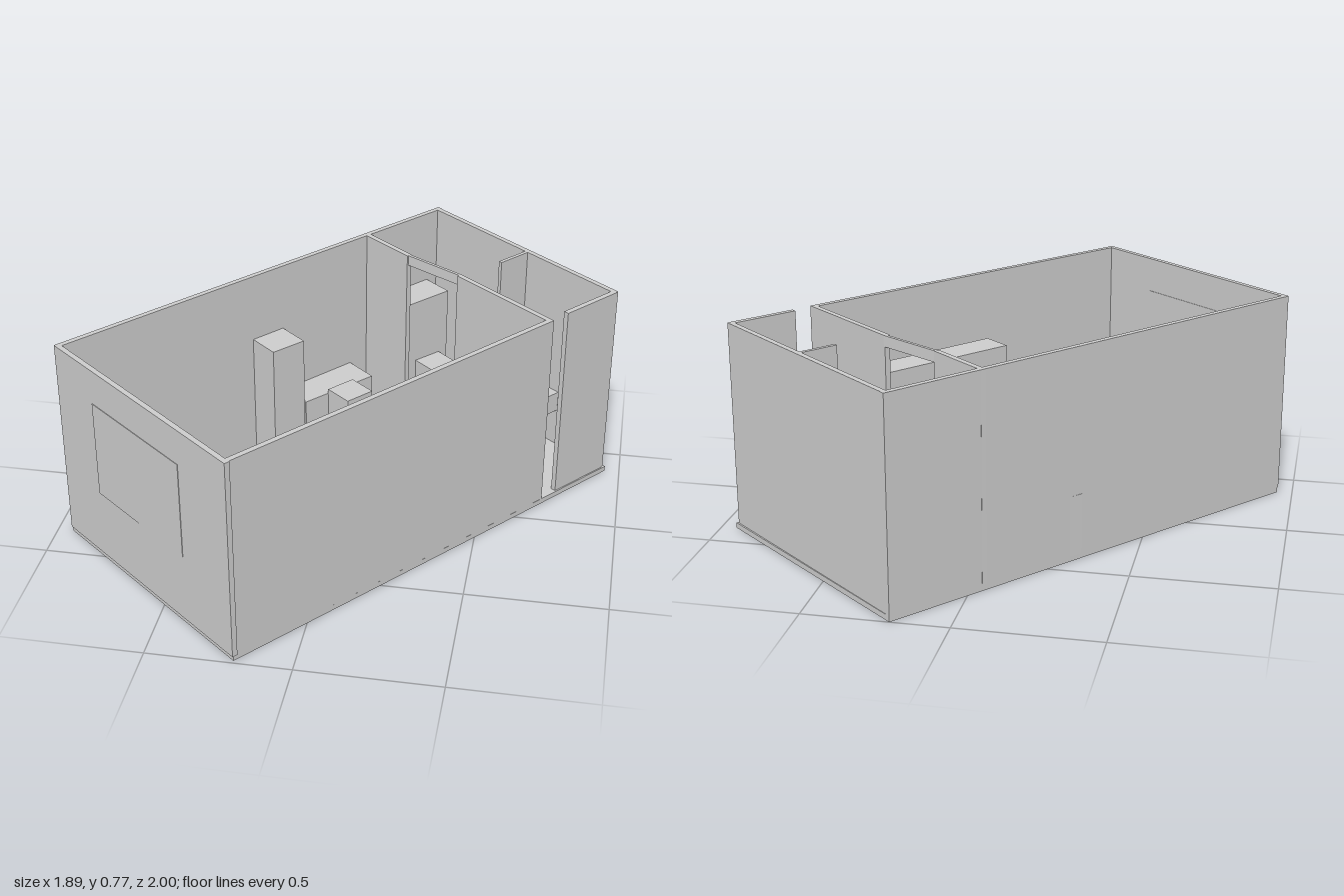
import * as THREE from 'three';

const material = new THREE.MeshStandardMaterial({ color: 0xcccccc, flatShading: true });

// Box standing on the plan edge (x1,z1)-(x2,z2), reaching `depth` inwards, from y0 to y1
function block(name, [x1, z1, x2, z2], depth, y0, y1) {
  const dx = x2 - x1, dz = z2 - z1, length = Math.hypot(dx, dz);
  const mesh = new THREE.Mesh(new THREE.BoxGeometry(length, y1 - y0, depth), material);
  mesh.position.set(
    (x1 + x2) / 2 - (dz / length) * depth / 2,
    (y0 + y1) / 2,
    (z1 + z2) / 2 + (dx / length) * depth / 2
  );
  mesh.rotation.y = Math.atan2(-dz, dx);
  mesh.name = name;
  return mesh;
}

export function createModel() {
  const model = new THREE.Group();
  model.name = 'roomPlan';
  const FLOOR = 0.02, TOP = 0.77, T = 0.02;

  model.add(block('floor', [0.2, -1, 0.945, -0.375], 1.78, 0, FLOOR));

  // Outer walls, with the entrance gap on the right-hand long side
  const walls = {
    backWall: [0.2, -0.998, 0.935, -0.375],
    entranceWall: [0.93, -0.365, 0.768, -0.172],
    longWall: [0.718, -0.105, -0.2, 0.99],
    frontWall: [-0.2, 0.995, -0.947, 0.367],
    oppositeWall: [-0.945, 0.363, 0.2, -1],
  };
  for (const [name, edge] of Object.entries(walls)) model.add(block(name, edge, T, FLOOR, TOP));

  // Slim window panel set in the front wall
  model.add(block('windowPanel', [-0.398, 0.831, -0.778, 0.512], T + 0.004, 0.28, 0.64));

  // Partition with a doorway between its two halves
  model.add(
    block('partitionShort', [-0.04, -0.715, 0.155, -0.55], T, FLOOR, TOP),
    block('partitionLong', [0.36, -0.415, 0.722, -0.11], T, FLOOR, TOP),
    block('doorLintel', [0.15, -0.55, 0.365, -0.412], 0.012, TOP - 0.04, TOP),
    block('stubWall', [0.588, -0.648, 0.497, -0.54], 0.014, FLOOR, TOP)
  );

  // Furniture: plan edge, depth, bottom, top
  const furniture = [
    ['washroomCabinet', [0.16, -0.94, 0.267, -0.845], 0.22, FLOOR, 0.48],
    ['toilet', [0.24, -0.81, 0.322, -0.735], 0.12, FLOOR, 0.22],
    ['sink', [0.592, -0.645, 0.745, -0.515], 0.1, 0.17, 0.25],
    ['sideDesk', [-0.1, -0.63, 0.012, -0.53], 0.325, FLOOR, 0.24],
    ['sideDeskChair', [-0.053, -0.457, 0.037, -0.38], 0.122, FLOOR, 0.26],
    ['tallCabinet', [-0.315, -0.375, -0.208, -0.28], 0.142, FLOOR, 0.51],
    ['armchair', [0.34, -0.415, 0.46, -0.315], 0.18, FLOOR, 0.27],
    ['table', [0.035, -0.088, 0.155, 0.013], 0.355, FLOOR, 0.22],
    ['shelfUnit', [0.5, -0.12, 0.592, -0.043], 0.62, FLOOR, 0.52],
    ['shelfChair', [0.298, 0.055, 0.328, 0.08], 0.095, FLOOR, 0.26],
    ['frontDesk', [-0.548, 0.438, -0.245, 0.692], 0.188, FLOOR, 0.24],
    ['frontDeskChair', [-0.408, 0.49, -0.318, 0.565], 0.05, FLOOR, 0.26],
  ];
  for (const piece of furniture) model.add(block(...piece));

  return model;
}
